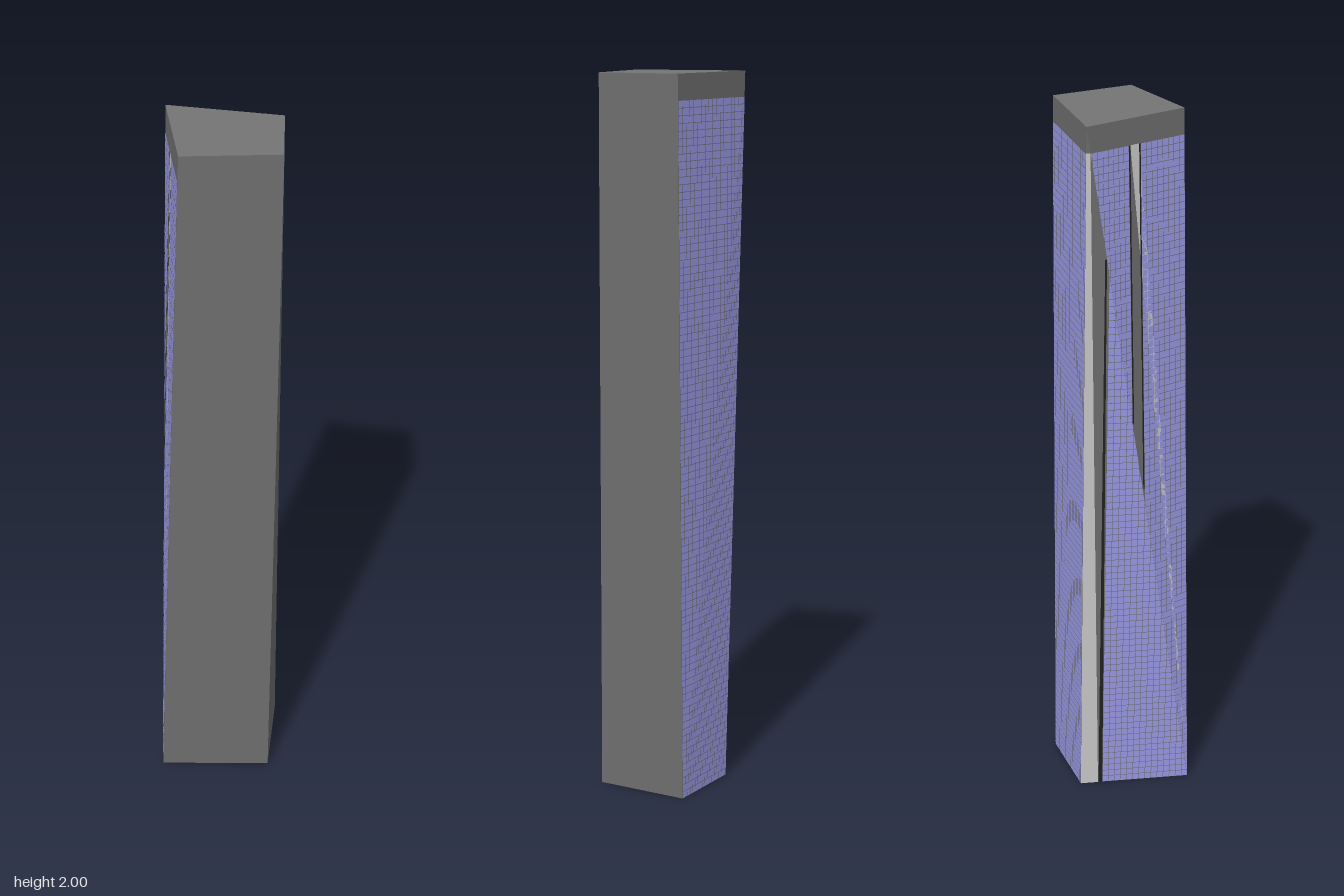
import * as THREE from 'three';

const H = 2, FACADE_TOP = 1.93 / 2, ROWS = 96, COLS = 18;
const P = (x, y, z) => new THREE.Vector3(x, y, z);

// Corners in plan: back right, back left, front left, front right
const low = [P(-0.09, 0, -0.153), P(0.14, 0, -0.156), P(0.157, 0, 0.107), P(-0.152, 0, 0.156)];
const high = [P(-0.175, H, -0.151), P(0.142, H, -0.138), P(0.174, H, 0.093), P(-0.086, H, 0.147)];

function meshFrom(points, color, name) {
  const g = new THREE.BufferGeometry().setFromPoints(points);
  g.computeVertexNormals();
  const m = new THREE.Mesh(g, new THREE.MeshStandardMaterial({ color, flatShading: true }));
  m.name = name;
  return m;
}

// Folded tower body in dark grey: every side is two flat triangles
function addBody(model) {
  const [a, b, c, d] = low, [A, B, C, D] = high;
  model.add(meshFrom([
    A, D, C, A, C, B, // roof
    a, b, c, a, c, d, // underside
  ], 0x757575, 'roofAndBase'));
  model.add(meshFrom([
    a, A, b, A, B, b, // back
    b, B, C, b, C, c, // left
    c, C, D, c, D, d, // front
    d, D, A, d, A, a, // right
  ], 0x6e6e6e, 'towerWalls'));
}

// One triangular facet, with columns parallel to its upright edge.
// s runs across the facet from that edge, f runs up it.
function makeFacet(from, toward, widensUp, flip) {
  const up = high[from].clone().sub(low[from]);
  const across = widensUp ? high[toward].clone().sub(high[from]) : low[toward].clone().sub(low[from]);
  const normal = up.clone().cross(across).normalize().multiplyScalar(flip ? -1 : 1);
  const at = (s, f, lift) => low[from].clone().addScaledVector(up, f)
    .addScaledVector(across, Math.min(s, widensUp ? f : 1 - f)).addScaledVector(normal, lift);
  return (out, s0, s1, f0, f1, lift) => {
    if (s0 >= (widensUp ? f1 : 1 - f0)) return;
    const a = at(s0, f0, lift), b = at(s0, f1, lift), c = at(s1, f1, lift), d = at(s1, f0, lift);
    if (flip) out.push(a, c, b, a, d, c);
    else out.push(a, b, c, a, c, d);
  };
}

// Grid of window panes with narrow joints, between s = start and s = end
function addPanes(out, facet, start = 0, end = 1) {
  const cols = Math.round((end - start) * COLS);
  const rowH = FACADE_TOP / ROWS, colW = (end - start) / cols;
  for (let r = 0; r < ROWS; r++) {
    for (let c = 0; c < cols; c++) {
      facet(out, start + (c + 0.04) * colW, start + (c + 0.96) * colW,
        (r + 0.04) * rowH, (r + 0.96) * rowH, 0.0008);
    }
  }
}

export function createModel() {
  const model = new THREE.Group();
  model.name = 'tower';
  addBody(model);

  const backLower = makeFacet(0, 1, false, false);
  const backUpper = makeFacet(1, 0, true, true);
  const sideLower = makeFacet(0, 3, false, true);
  const sideUpper = makeFacet(3, 0, true, false);

  // Glazing on the back and right sides
  const backPanes = [], sidePanes = [];
  addPanes(backPanes, backLower);
  addPanes(backPanes, backUpper);
  addPanes(sidePanes, sideLower, 0.2, 1);
  addPanes(sidePanes, sideUpper, 0, 0.46);
  addPanes(sidePanes, sideUpper, 0.58, 1);
  model.add(meshFrom(backPanes, 0x9a9ae6, 'backWindows'));
  model.add(meshFrom(sidePanes, 0x9a9ae6, 'rightWindows'));

  // Solid strips between the panes, with dark edges
  const strips = [], edges = [];
  sideLower(strips, 0, 0.16, 0, FACADE_TOP, 0.0008);
  sideUpper(strips, 0.475, 0.565, 0, FACADE_TOP, 0.0008);
  sideLower(edges, 0.165, 0.2, 0, 0.82, 0.0009);
  sideUpper(edges, 0.46, 0.475, 0.48, FACADE_TOP, 0.0009);
  sideUpper(edges, 0.565, 0.58, 0.58, FACADE_TOP, 0.0009);
  model.add(meshFrom(strips, 0xcccccc, 'solidStrips'));
  model.add(meshFrom(edges, 0x222222, 'stripEdges'));
  return model;
}
